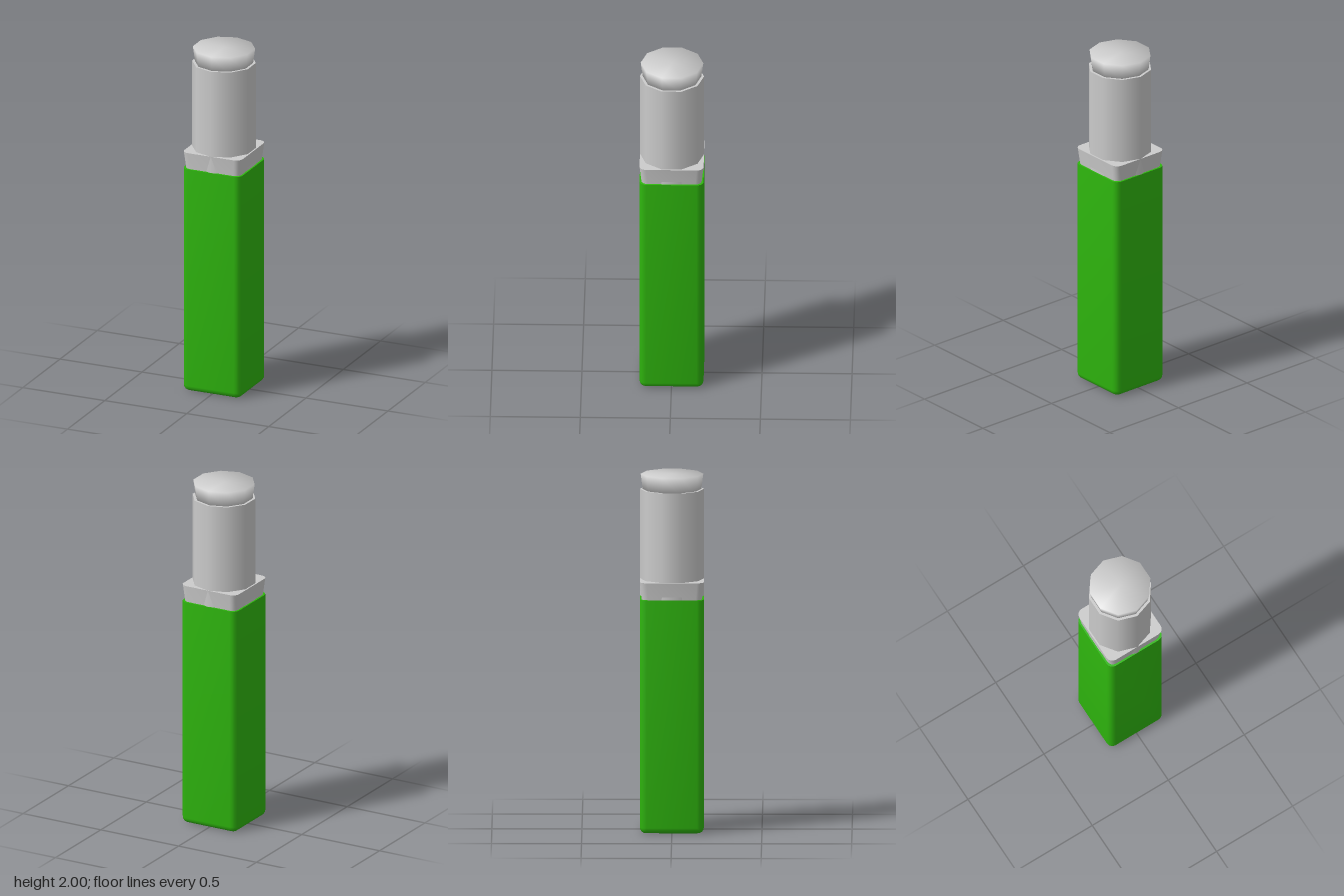
import * as THREE from 'three';
import { toCreasedNormals } from 'three/addons/utils/BufferGeometryUtils.js';

const CORNER_STEPS = 4;

// Closed loft through rounded squares; each ring is { half, radius, y }
function roundedLoft(rings) {
  const positions = [];
  const index = [];
  const n = 4 * (CORNER_STEPS + 1);
  for (const { half, radius, y } of rings) {
    for (let c = 0; c < 4; c++) {
      const mid = (c + 0.5) * Math.PI / 2;
      const cx = Math.sign(Math.cos(mid)) * (half - radius);
      const cz = Math.sign(Math.sin(mid)) * (half - radius);
      for (let s = 0; s <= CORNER_STEPS; s++) {
        const a = (c + s / CORNER_STEPS) * Math.PI / 2;
        positions.push(cx + radius * Math.cos(a), y, cz + radius * Math.sin(a));
      }
    }
  }
  const last = rings.length - 1;
  const bottom = rings.length * n;
  const top = bottom + 1;
  positions.push(0, rings[0].y, 0, 0, rings[last].y, 0);
  for (let j = 0; j < n; j++) {
    const k = (j + 1) % n;
    for (let i = 0; i < last; i++) {
      const lower = i * n;
      const upper = lower + n;
      index.push(lower + j, upper + j, upper + k, lower + j, upper + k, lower + k);
    }
    index.push(bottom, j, k, top, last * n + k, last * n + j);
  }
  const geometry = new THREE.BufferGeometry();
  geometry.setAttribute('position', new THREE.Float32BufferAttribute(positions, 3));
  geometry.setIndex(index);
  return toCreasedNormals(geometry, 0.8);
}

export function createModel() {
  const group = new THREE.Group();
  const grey = new THREE.MeshStandardMaterial({ color: 0xcccccc });
  const green = new THREE.MeshStandardMaterial({ color: 0x2fb80e });
  const add = (name, geometry, material) => {
    const mesh = new THREE.Mesh(geometry, material);
    mesh.name = name;
    group.add(mesh);
    return mesh;
  };

  // Square case with rounded corners and a rounded bottom edge
  const half = 0.178;
  const radius = 0.038;
  const edge = 0.033;
  const rings = [];
  for (let i = 0; i <= 4; i++) {
    const a = i / 4 * Math.PI / 2;
    const inset = edge * (1 - Math.sin(a));
    rings.push({ half: half - inset, radius: radius - inset, y: edge * (1 - Math.cos(a)) });
  }
  rings.push({ half, radius, y: 1.315 });
  add('case', roundedLoft(rings), green);

  // Collar flaring upward from the case
  add('collar', roundedLoft([
    { half: 0.167, radius: 0.035, y: 1.31 },
    { half: 0.178, radius: 0.038, y: 1.412 },
  ]), grey);

  // Ten-sided barrel whose corners break through the collar
  const barrel = add('barrel', new THREE.CylinderGeometry(0.178, 0.178, 0.605, 10), grey);
  barrel.position.y = 1.6125;

  // Flared ten-sided tip with a softly shaded flat top
  const profile = [[0, 1.9], [0.161, 1.9], [0.174, 2], [0, 2]];
  add('tip', new THREE.LatheGeometry(profile.map(([r, y]) => new THREE.Vector2(r, y)), 10), grey);

  return group;
}
